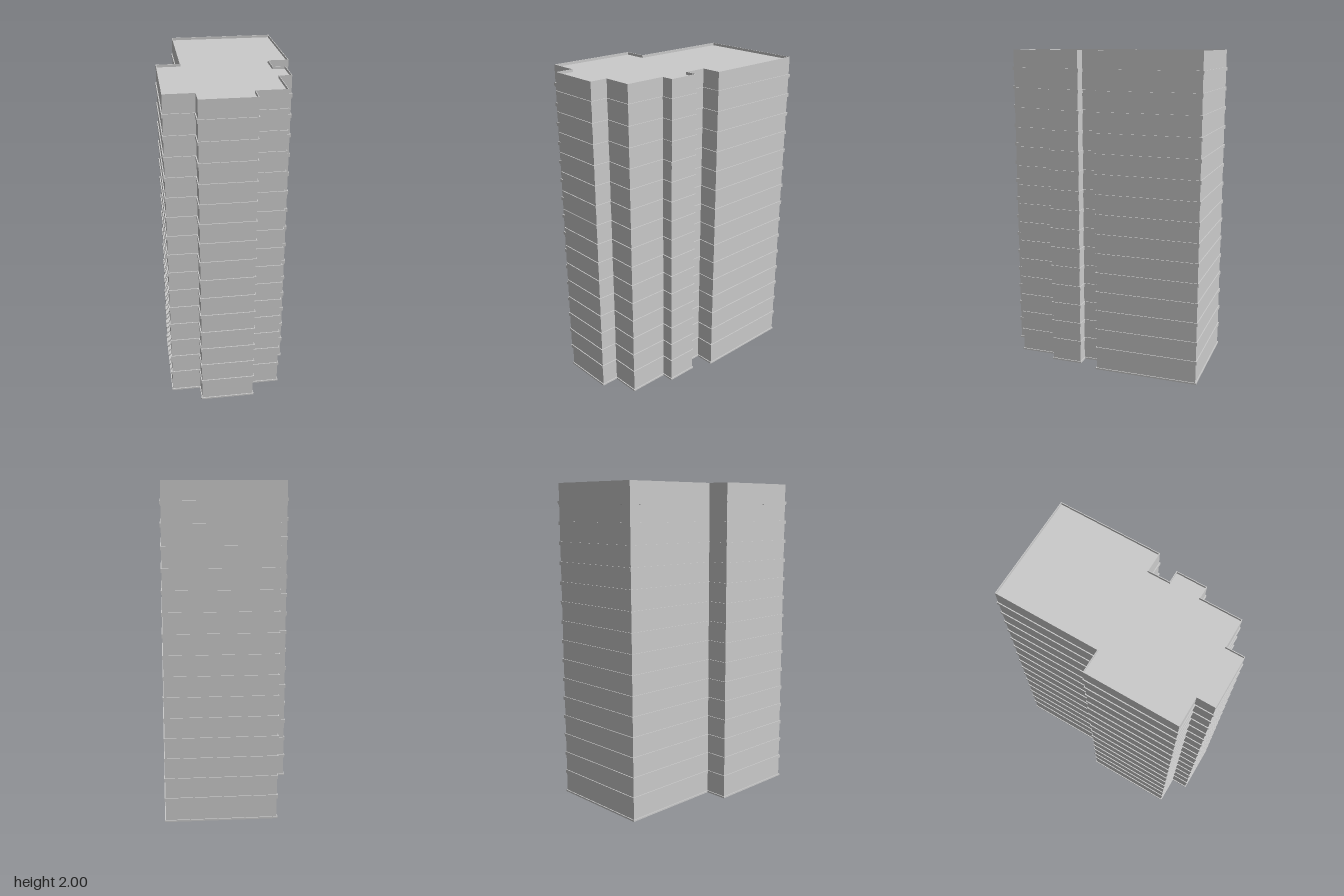
import * as THREE from 'three';

// Footprint of the floor slabs as [x, z] corners, in order around the tower
const FOOTPRINT = [
  [-0.268, -0.674], [0.41, -0.674], [0.41, -0.018], [0.286, -0.018],
  [0.286, 0.103], [0.361, 0.103], [0.361, 0.304], [0.286, 0.304],
  [0.286, 0.558], [0.105, 0.558], [0.105, 0.669], [-0.232, 0.669],
  [-0.232, 0.558], [-0.412, 0.558], [-0.412, -0.027], [-0.268, -0.027],
];
const HEIGHT = 2, STOREYS = 16, STOREY_HEIGHT = 0.1243;
const OVERHANG = 0.006, WALL = 0.004, SLAB = 0.022, BASE = 0.01, ROOF_DROP = 0.016;

// Right-angled outline moved inward by d at every edge
function inset(d) {
  const n = FOOTPRINT.length;
  return FOOTPRINT.map(([x, z], i) => {
    const [px, pz] = FOOTPRINT[(i + n - 1) % n];
    const [nx, nz] = FOOTPRINT[(i + 1) % n];
    const sx = Math.sign(x - px) + Math.sign(nx - x);
    const sz = Math.sign(z - pz) + Math.sign(nz - z);
    return new THREE.Vector2(x - d * sz, z + d * sx);
  });
}

// Horizontal plate of an outline, with its top face at y = 0
function plate(outline, thickness, hole) {
  const shape = new THREE.Shape(outline);
  if (hole) shape.holes.push(new THREE.Path(hole));
  return new THREE.ExtrudeGeometry(shape, { depth: thickness, bevelEnabled: false })
    .rotateX(Math.PI / 2);
}

export function createModel() {
  const tower = new THREE.Group();
  tower.name = 'tower';
  const material = new THREE.MeshStandardMaterial({ color: 0xcccccc, flatShading: true });
  const add = (name, geometry, top) => {
    const mesh = new THREE.Mesh(geometry, material);
    mesh.name = name;
    mesh.position.y = top;
    tower.add(mesh);
  };

  // Thin outer walls that rise past the roof as a low parapet
  const inner = inset(OVERHANG + WALL);
  add('outerWalls', plate(inset(OVERHANG), HEIGHT, inner), HEIGHT);
  add('roof', plate(inner, SLAB), HEIGHT - ROOF_DROP);

  // Ground plate and the projecting slab at each storey
  add('basePlate', plate(inset(0), BASE), BASE);
  const slab = plate(inset(0), SLAB);
  for (let i = 1; i < STOREYS; i++) {
    add('floorSlab' + i, slab, 0.0155 + i * STOREY_HEIGHT + SLAB / 2);
  }
  return tower;
}
